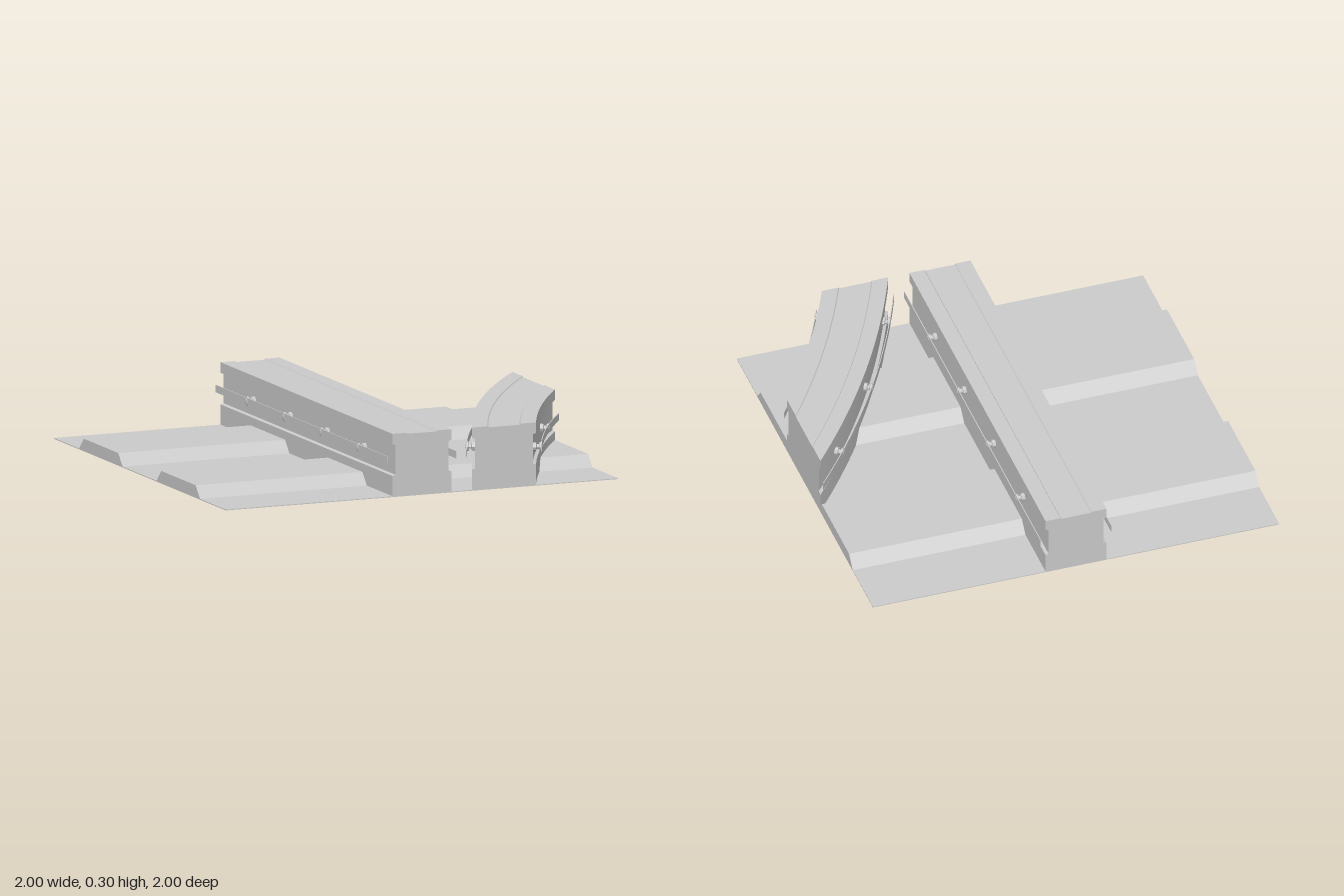
import * as THREE from 'three';
import { toCreasedNormals } from 'three/addons/utils/BufferGeometryUtils.js';

const material = new THREE.MeshStandardMaterial({ color: 0xcccccc });
const flat = new THREE.MeshStandardMaterial({ color: 0xcccccc, flatShading: true });

// Curved track: arc centre and centre-line radius
const CX = 4.642, CZ = 2.82, R = 4.6;

// Beam cross-section (offset from centre line, height), counter-clockwise
const half = [[0.15, 0], [0.15, 0.1], [0.135, 0.105], [0.135, 0.245], [0.15, 0.25],
  [0.15, 0.3], [0.077, 0.3], [0.073, 0.295]];
const beamProfile = [...half, ...half.map(([o, y]) => [-o, y]).reverse()];

// Thin conductor rail on one side of a beam
const railProfile = (s) => {
  const a = s * 0.1745 - 0.002, b = s * 0.1745 + 0.002;
  return [[a, 0.16], [b, 0.16], [b, 0.195], [a, 0.195]];
};

const toVectors = (profile) => profile.map(([o, y]) => new THREE.Vector2(o, y));

function straightSweep(profile) {
  const geo = new THREE.ExtrudeGeometry(new THREE.Shape(toVectors(profile)), { depth: 2, bevelEnabled: false });
  return geo.translate(0, 0, -1);
}

// Sweep along the arc, each line trimmed to the planes z = 1 and x = 1
function curvedSweep(profile, steps = 24) {
  const n = profile.length, pos = [], index = [];
  for (let i = 0; i <= steps; i++) {
    for (const [o, y] of profile) {
      const r = R + o;
      const start = Math.asin((CZ - 1) / r), end = Math.acos((CX - 1) / r);
      const t = start + (end - start) * i / steps;
      pos.push(CX - r * Math.cos(t), y, CZ - r * Math.sin(t));
    }
  }
  for (let i = 0; i < steps; i++) {
    for (let j = 0; j < n; j++) {
      const k = (j + 1) % n;
      const a = i * n + j, b = i * n + k, c = b + n, d = a + n;
      index.push(a, b, c, a, c, d);
    }
  }
  for (const [a, b, c] of THREE.ShapeUtils.triangulateShape(toVectors(profile), [])) {
    index.push(c, b, a, a + steps * n, b + steps * n, c + steps * n);
  }
  const geo = new THREE.BufferGeometry();
  geo.setAttribute('position', new THREE.Float32BufferAttribute(pos, 3));
  geo.setIndex(index);
  return toCreasedNormals(geo, 0.4);
}

// Insulator reaching from the beam's web (x = 0.13) to the rail
function insulatorGeometry() {
  const points = [[0, 0.13], [0.02, 0.13], [0.02, 0.15], [0.011, 0.153], [0.011, 0.163],
    [0.022, 0.166], [0.022, 0.174], [0.01, 0.179], [0, 0.179]];
  const geo = new THREE.LatheGeometry(toVectors(points), 8);
  return geo.rotateZ(-Math.PI / 2);
}

export function createModel() {
  const model = new THREE.Group();
  const add = (parent, name, geo, mat = material) => {
    const mesh = new THREE.Mesh(geo, mat);
    mesh.name = name;
    parent.add(mesh);
    return mesh;
  };

  // Ground with two raised bands; profile drawn in (-z, y) and turned to run along x
  const low = 0.004, high = 0.06;
  const ground = [[-1, 0], [1, 0], [1, low], [0.705, low], [0.65, high], [0.25, high], [0.2, low],
    [-0.195, low], [-0.25, high], [-0.65, high], [-0.7, low], [-1, low]];
  add(model, 'ground', straightSweep(ground).rotateY(Math.PI / 2));

  const insulator = insulatorGeometry();

  // Straight track
  const straight = new THREE.Group();
  straight.name = 'straightTrack';
  add(straight, 'straightBeam', straightSweep(beamProfile));
  for (const s of [-1, 1]) {
    add(straight, 'straightRail', straightSweep(railProfile(s)));
    for (const z of [-0.64, -0.21, 0.22, 0.65]) {
      const mesh = add(straight, 'straightInsulator', insulator, flat);
      mesh.position.set(0, 0.1775, z);
      mesh.rotation.y = s > 0 ? 0 : Math.PI;
    }
  }
  model.add(straight);

  // Curved track
  const curved = new THREE.Group();
  curved.name = 'curvedTrack';
  add(curved, 'curvedBeam', curvedSweep(beamProfile));
  for (const s of [-1, 1]) {
    add(curved, 'curvedRail', curvedSweep(railProfile(s)));
    for (const t of [0.431, 0.538, 0.645]) {
      if (CX - (R + s * 0.17) * Math.cos(t) > 1) continue;
      const mesh = add(curved, 'curvedInsulator', insulator, flat);
      mesh.position.set(CX - R * Math.cos(t), 0.1775, CZ - R * Math.sin(t));
      mesh.rotation.y = s > 0 ? Math.PI - t : -t;
    }
  }
  model.add(curved);

  return model;
}
